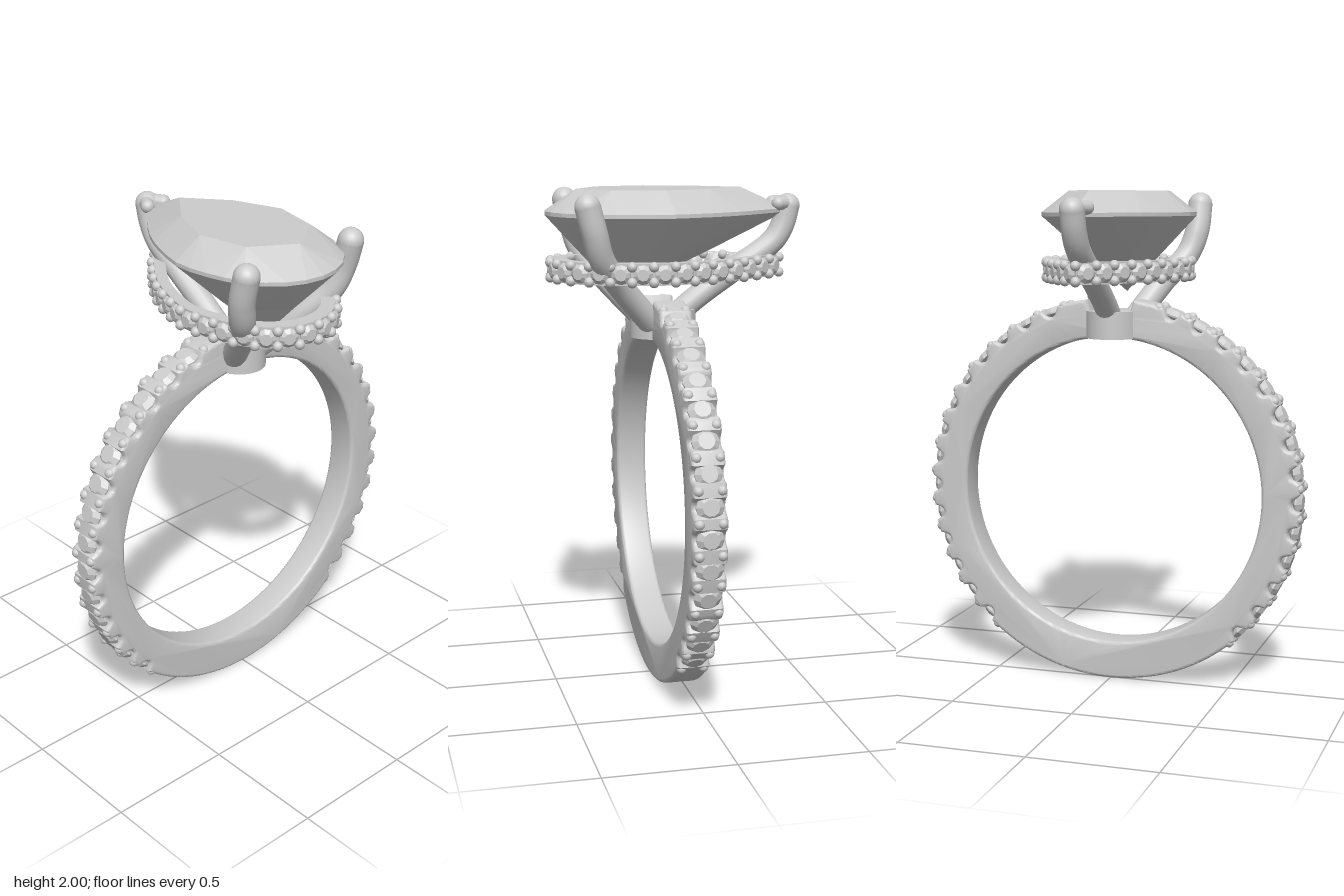
import * as THREE from 'three';
import { toCreasedNormals } from 'three/addons/utils/BufferGeometryUtils.js';

const V = (x, y, z) => new THREE.Vector3(x, y, z);
const UP = V(0, 1, 0);
const CY = 0.785, CZ = 0.045;            // centre of the finger ring
const STONES = 14, FIRST = -45.4, STEP = 8.92; // band stones per side, in degrees
const RAD = Math.PI / 180;

const metal = new THREE.MeshStandardMaterial({ color: 0xcccccc });
const faceted = new THREE.MeshStandardMaterial({ color: 0xcccccc, flatShading: true });

// Half of the pear outline as (x, z), from the point at the back to the round front
const halfPear = new THREE.SplineCurve([
  [0, -0.46], [0.07, -0.39], [0.21, -0.2], [0.293, 0], [0.31, 0.12],
  [0.273, 0.3], [0.2, 0.425], [0.1, 0.495], [0, 0.515],
].map(p => new THREE.Vector2(...p)));

// Pear ring with n points (n even), scaled about its middle
function pear(n, sx, sz, cz) {
  const pts = [];
  for (let i = 0; i < n; i++) {
    const t = i / (n / 2);
    const p = halfPear.getPointAt(t <= 1 ? t : 2 - t);
    pts.push(new THREE.Vector2((t <= 1 ? p.x : -p.x) * sx, cz + (p.y - cz) * sz));
  }
  return pts;
}

function add(parent, name, geometry, material = metal) {
  const mesh = new THREE.Mesh(geometry, material);
  mesh.name = name;
  parent.add(mesh);
  return mesh;
}

// Small round cut stone of radius 1, table facing +y
const smallStone = new THREE.LatheGeometry(
  [[0, -0.5], [1, -0.05], [1, 0.08], [0.6, 0.42], [0, 0.42]].map(p => new THREE.Vector2(...p)), 10).toNonIndexed();
smallStone.computeVertexNormals();
const beadBall = new THREE.SphereGeometry(1, 12, 8);

function placeStone(parent, pos, normal, r) {
  const m = add(parent, 'smallStone', smallStone, faceted);
  m.position.copy(pos);
  m.quaternion.setFromUnitVectors(UP, normal);
  m.scale.setScalar(r);
}
function placeBead(parent, pos, r) {
  const m = add(parent, 'bead', beadBall);
  m.position.copy(pos);
  m.scale.setScalar(r);
}

// Band: ring outline with a scallop under every stone, lowered at the top for the hub
function buildBand(group) {
  const bevel = 0.014, outline = [];
  for (let i = 0; i < 540; i++) {
    const a = i / 540 * 360;
    const e = 90 - Math.abs(((a - 90 + 540) % 360) - 180);   // elevation, same on both sides
    let r = e > 82 ? 0.74 : 0.787;
    const k = Math.round((e - FIRST) / STEP);
    const u = (e - FIRST - k * STEP) / 2.9;
    if (k >= 0 && k < STONES && Math.abs(u) < 1) r -= 0.038 * Math.sqrt(1 - u * u);
    r -= bevel;
    outline.push(new THREE.Vector2(r * Math.cos(a * RAD), r * Math.sin(a * RAD)));
  }
  const shape = new THREE.Shape(outline);
  shape.holes.push(new THREE.Path().absarc(0, 0, 0.63 + bevel, 0, Math.PI * 2, true));
  const geo = new THREE.ExtrudeGeometry(shape, {
    depth: 0.13 - 2 * bevel, bevelEnabled: true, bevelSize: bevel, bevelThickness: bevel,
    bevelSegments: 3, curveSegments: 96,
  });
  geo.translate(0, CY, CZ - 0.065 + bevel);
  add(group, 'band', toCreasedNormals(geo, 0.6));

  const pave = new THREE.Group();
  pave.name = 'bandStones';
  group.add(pave);
  for (const side of [-1, 1]) {
    for (let i = 0; i <= STONES; i++) {
      const at = (deg, r, z) => V(side * r * Math.cos(deg * RAD), CY + r * Math.sin(deg * RAD), z);
      const a = FIRST + i * STEP, b = a - STEP / 2;
      if (i < STONES) {
        const n = V(side * Math.cos(a * RAD), Math.sin(a * RAD), 0);
        placeStone(pave, at(a, 0.765, CZ), n, 0.054);
      }
      for (const s of [-1, 1]) placeBead(pave, at(b, 0.779, CZ + s * 0.044), 0.02);
    }
  }
}

// Halo: pear-shaped rail with stones facing outwards
function buildHalo(group) {
  const toShape = pts => pts.map(p => new THREE.Vector2(p.x, -p.y));
  const shape = new THREE.Shape(toShape(pear(96, 0.91, 0.94, 0.07)));
  shape.holes.push(new THREE.Path(toShape(pear(96, 0.76, 0.81, 0.07))));
  const geo = new THREE.ExtrudeGeometry(shape, { depth: 0.084, bevelEnabled: false });
  geo.rotateX(-Math.PI / 2).translate(0, 1.646, 0);
  add(group, 'haloRail', toCreasedNormals(geo, 0.6));

  const pave = new THREE.Group();
  pave.name = 'haloStones';
  group.add(pave);
  const n = 28, ring = pear(n * 2, 0.91, 0.94, 0.07);
  ring.forEach((p, i) => {
    const a = ring[(i + 2 * n - 1) % (2 * n)], b = ring[(i + 1) % (2 * n)];
    const out = V(b.y - a.y, 0, a.x - b.x).normalize();
    const pos = V(p.x, 1.688, p.y);
    if (i % 2) placeStone(pave, pos.addScaledVector(out, 0.004), out, 0.038);
    else for (const s of [-1, 1]) placeBead(pave, pos.clone().addScaledVector(out, 0.008).setY(1.688 + s * 0.03), 0.02);
  });
}

// Centre stone: flat facets between a fine girdle and coarse table and pavilion rings
function buildCentreStone(group) {
  const lift = (pts, y) => pts.map(p => V(p.x, y, p.y));
  const tableRing = lift(pear(8, 0.67, 0.68, 0.125), 2.0);
  const girdleTop = lift(pear(32, 1, 1, 0), 1.915);
  const girdleLow = lift(pear(32, 1, 1, 0), 1.9);
  const lowRing = lift(pear(8, 0.5, 0.5, 0.22), 1.74);
  const middle = V(0, 1.86, 0.1), pos = [];
  const tri = (a, b, c) => {
    const n = b.clone().sub(a).cross(c.clone().sub(a));
    const outward = n.dot(a.clone().add(b).add(c).divideScalar(3).sub(middle)) > 0;
    for (const p of outward ? [a, b, c] : [a, c, b]) pos.push(p.x, p.y, p.z);
  };
  const stitch = (coarse, fine) => coarse.forEach((p, j) => {
    for (let k = -2; k < 2; k++) tri(p, fine[(4 * j + k + 32) % 32], fine[(4 * j + k + 33) % 32]);
    tri(p, coarse[(j + 1) % 8], fine[(4 * j + 2) % 32]);
  });
  const fan = (tip, ring) => ring.forEach((p, j) => tri(tip, p, ring[(j + 1) % ring.length]));
  fan(V(0, 2.0, 0.125), tableRing);
  stitch(tableRing, girdleTop);
  girdleTop.forEach((p, i) => {
    const k = (i + 1) % 32;
    tri(p, girdleTop[k], girdleLow[i]);
    tri(girdleTop[k], girdleLow[k], girdleLow[i]);
  });
  stitch(lowRing, girdleLow);
  fan(V(0, 1.59, 0.22), lowRing);
  const geo = new THREE.BufferGeometry();
  geo.setAttribute('position', new THREE.Float32BufferAttribute(pos, 3));
  geo.computeVertexNormals();
  add(group, 'centreStone', geo, faceted);
}

// Prong: bent round wire with a ball tip
function buildProng(group, name, points, r) {
  const prong = new THREE.Group();
  prong.name = name;
  group.add(prong);
  const curve = new THREE.CatmullRomCurve3(points.map(p => V(...p)));
  add(prong, 'wire', new THREE.TubeGeometry(curve, 32, r, 16));
  add(prong, 'tip', new THREE.SphereGeometry(r, 20, 14)).position.set(...points.at(-1));
  add(prong, 'foot', new THREE.SphereGeometry(r, 16, 12)).position.set(...points[0]);
  return prong;
}

export function createModel() {
  const model = new THREE.Group();
  model.name = 'ring';
  buildBand(model);
  buildHalo(model);
  buildCentreStone(model);

  // Oval hub under the setting
  const hub = add(model, 'hub', new THREE.CylinderGeometry(1, 1, 0.11, 40));
  hub.scale.set(0.113, 1, 0.132);
  hub.position.set(0, 1.467, CZ);

  for (const s of [-1, 1]) {
    buildProng(model, s > 0 ? 'frontLeftProng' : 'frontRightProng', [
      [s * 0.065, 1.485, 0.115], [s * 0.15, 1.635, 0.25], [s * 0.23, 1.745, 0.335],
      [s * 0.26, 1.84, 0.365], [s * 0.265, 1.945, 0.393]], 0.05);
  }

  // Back prong with a V-shaped claw around the stone's point
  const back = buildProng(model, 'backProng', [
    [0, 1.49, 0.0], [0, 1.57, -0.1], [0, 1.68, -0.26], [0, 1.785, -0.41],
    [0, 1.85, -0.45], [0, 1.925, -0.47]], 0.048);
  for (const s of [-1, 1]) {
    const claw = add(back, 'claw', new THREE.CapsuleGeometry(0.028, 0.06, 6, 12));
    claw.position.set(s * 0.025, 1.935, -0.445);
    claw.quaternion.setFromUnitVectors(UP, V(s * 0.5, 0, 0.85).normalize());
  }
  return model;
}
